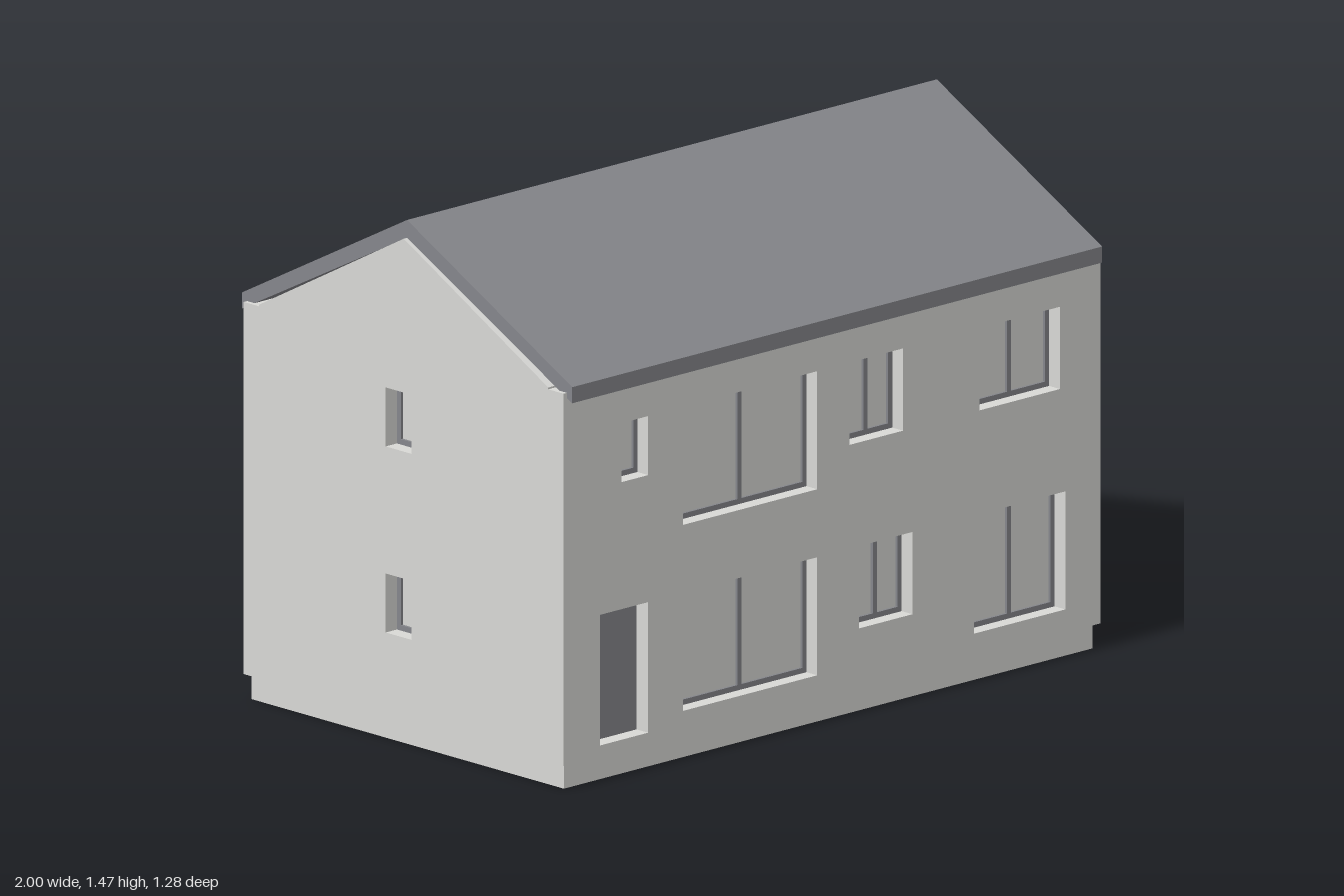
import * as THREE from 'three';

const DEPTH = 0.06; // wall thickness, also the window reveal
const FRAME = 0.015; // width of the frame bars

export function createModel() {
  const house = new THREE.Group();
  house.name = 'house';
  const wallMat = new THREE.MeshStandardMaterial({ color: 0xd8d8d5 });
  wallMat.name = 'pale render';
  const slateMat = new THREE.MeshStandardMaterial({ color: 0x85868b });
  slateMat.name = 'slate grey';

  const add = (parent, geometry, material, name) => {
    const mesh = new THREE.Mesh(geometry, material);
    mesh.name = name;
    parent.add(mesh);
    return mesh;
  };
  // box from its left, right, bottom, top, back and front
  const box = (parent, l, r, b, t, back, front, material, name) =>
    add(parent, new THREE.BoxGeometry(r - l, t - b, front - back), material, name)
      .position.set((l + r) / 2, (b + t) / 2, (back + front) / 2);
  const polygon = (points) => new THREE.Shape(points.map(([x, y]) => new THREE.Vector2(x, y)));

  // Recessed pane with a thin frame and, for two panes, a middle bar
  const addWindow = (wall, [l, r, b, t, panes]) => {
    const win = new THREE.Group();
    win.name = 'window';
    wall.add(win);
    box(win, l, r, b, t, 0, 0.01, wallMat, 'pane');
    const bar = (l2, r2, b2, t2) => box(win, l2, r2, b2, t2, 0.01, 0.018, slateMat, 'frameBar');
    bar(l, l + FRAME, b, t);
    bar(r - FRAME, r, b, t);
    bar(l + FRAME, r - FRAME, b, b + FRAME);
    bar(l + FRAME, r - FRAME, t - FRAME, t);
    const mid = (l + r) / 2;
    if (panes === 2) bar(mid - FRAME / 2, mid + FRAME / 2, b + FRAME, t - FRAME);
  };

  // Wall panel facing local +z, with openings cut through
  const addWall = (name, outline, distance, turn, windows, doors) => {
    const wall = new THREE.Group();
    wall.name = name;
    const shape = polygon(outline);
    for (const [l, r, b, t] of [...windows, ...doors]) {
      shape.holes.push(polygon([[l, b], [l, t], [r, t], [r, b]]));
    }
    add(wall, new THREE.ExtrudeGeometry(shape, { depth: DEPTH, bevelEnabled: false }), wallMat, 'wallPanel');
    windows.forEach((w) => addWindow(wall, w));
    for (const [l, r, b, t] of doors) box(wall, l, r, b, t, 0, 0.015, slateMat, 'door');
    wall.rotation.y = turn;
    wall.position.set(0, 0, distance - DEPTH).applyAxisAngle(new THREE.Vector3(0, 1, 0), turn);
    house.add(wall);
  };

  const longWall = [[-1, 0.07], [1, 0.07], [1, 1.11], [-1, 1.11]];
  const gable = [[-0.56, 0.07], [0.56, 0.07], [0.56, 1.115], [0, 1.415], [-0.56, 1.115]];

  // Openings: left, right, bottom, top, number of panes
  addWall('frontWall', longWall, 0.62, 0, [
    [-0.785, -0.685, 0.82, 0.985, 1],
    [-0.555, -0.055, 0.655, 0.985, 2],
    [0.065, 0.265, 0.755, 0.985, 2],
    [0.55, 0.85, 0.755, 0.985, 2],
    [-0.555, -0.055, 0.135, 0.465, 2],
    [0.1, 0.3, 0.235, 0.465, 2],
    [0.53, 0.87, 0.135, 0.465, 2],
  ], [[-0.865, -0.685, 0.1, 0.465]]);
  addWall('backWall', longWall, 0.62, Math.PI, [
    [-0.785, -0.685, 0.82, 0.985, 1],
    [0.155, 0.465, 0.755, 0.985, 2],
    [-0.48, -0.38, 0.3, 0.465, 1],
    [0.155, 0.365, 0.235, 0.465, 2],
  ], [[-0.215, -0.06, 0.1, 0.465]]);
  addWall('leftGable', gable, 1, Math.PI / 2, [], [[0.325, 0.48, 0.1, 0.465]]);
  addWall('rightGable', gable, 1, -Math.PI / 2, [
    [-0.07, 0.03, 0.82, 0.985, 1],
    [-0.07, 0.03, 0.3, 0.465, 1],
  ], []);

  // Set-back base
  box(house, -0.985, 0.985, 0, 0.07, -0.605, 0.605, wallMat, 'plinth');

  // Pitched roof slab with vertical eaves, ending just inside the gables
  const roof = new THREE.ExtrudeGeometry(
    polygon([[-0.64, 1.085], [0, 1.415], [0.64, 1.085], [0.64, 1.13], [0, 1.465], [-0.64, 1.13]]),
    { depth: 1.975, bevelEnabled: false });
  roof.translate(0, 0, -1.975 / 2).rotateY(Math.PI / 2);
  add(house, roof, slateMat, 'roof');

  return house;
}
